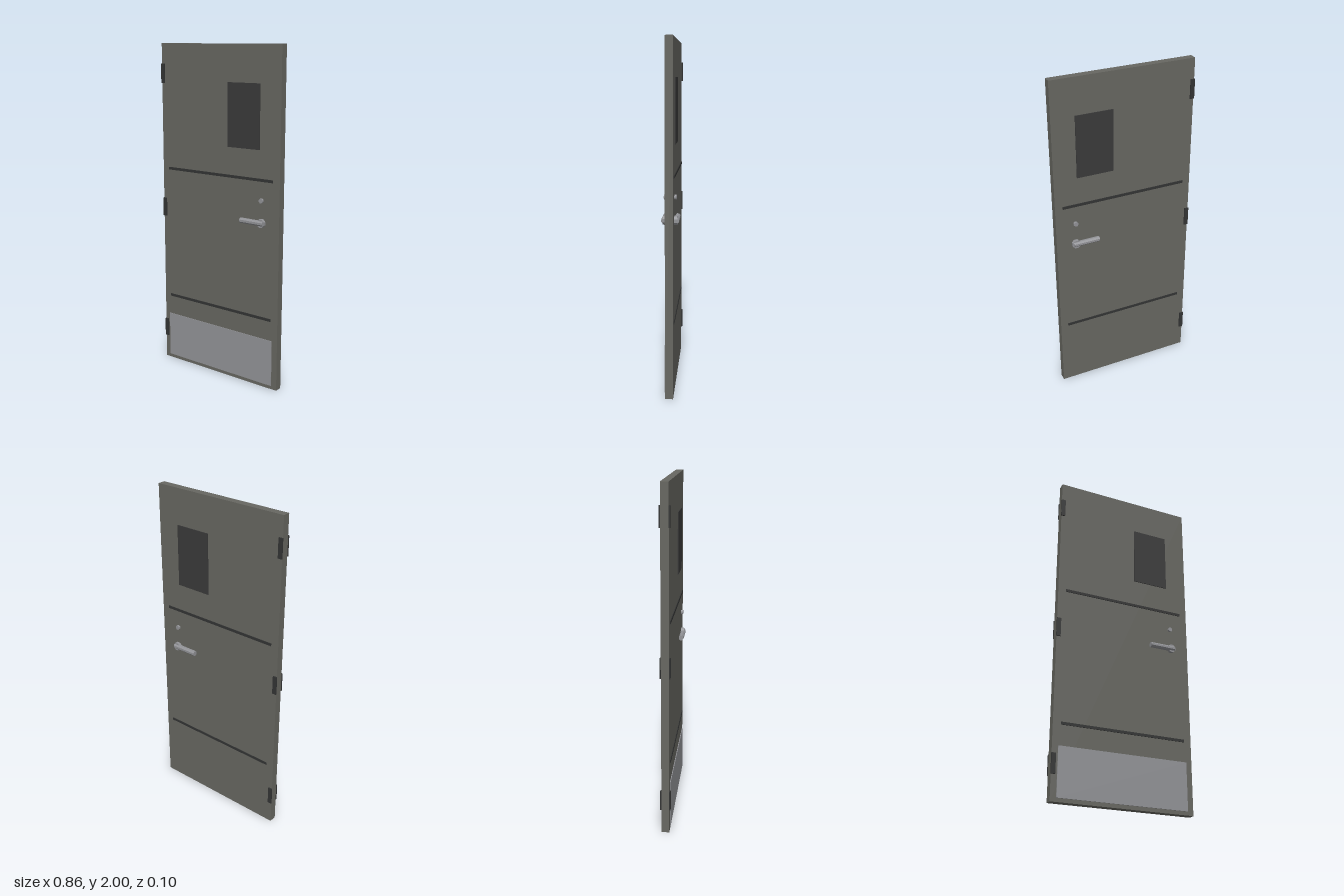
import * as THREE from 'three';

const material = (name, color) => {
  const m = new THREE.MeshStandardMaterial({ color });
  m.name = name;
  return m;
};

export function createModel() {
  const door = new THREE.Group();
  door.name = 'door';
  const paint = material('grey paint', 0x676761);
  const glass = material('dark glass', 0x3a3a3a);
  const black = material('black metal', 0x333434);
  const steel = material('steel', 0x929397);
  const HALF = 0.0225; // half the thickness of the leaf

  // Box given by its limits on each axis
  const box = (name, mat, x0, x1, y0, y1, z0, z1) => {
    const mesh = new THREE.Mesh(new THREE.BoxGeometry(x1 - x0, y1 - y0, z1 - z0), mat);
    mesh.position.set((x0 + x1) / 2, (y0 + y1) / 2, (z0 + z1) / 2);
    mesh.name = name;
    door.add(mesh);
  };

  // Faceted cylinder, along z by default or along x
  const rod = (name, r, length, x, y, z, alongX = false, sides = 8) => {
    const geo = new THREE.CylinderGeometry(r, r, length, sides).toNonIndexed();
    geo.rotateY(Math.PI / sides);
    if (alongX) geo.rotateZ(Math.PI / 2);
    else geo.rotateX(Math.PI / 2);
    geo.computeVertexNormals();
    const mesh = new THREE.Mesh(geo, mat8);
    mesh.position.set(x, y, z);
    mesh.name = name;
    door.add(mesh);
  };
  const mat8 = steel;

  box('leaf', paint, -0.428, 0.427, 0, 2, -HALF, HALF);
  box('kickPlate', steel, -0.393, 0.391, 0.022, 0.303, HALF, 0.027);

  // Fittings repeated on both faces
  for (const [side, s] of [['front', 1], ['back', -1]]) {
    const plate = (name, mat, x0, x1, y0, y1, depth) =>
      box(side + name, mat, x0, x1, y0, y1, s > 0 ? HALF : -depth, s > 0 ? depth : -HALF);

    plate('Window', glass, 0.068, 0.29, 1.42, 1.787, 0.027);
    for (const y of [0.43, 1.25]) plate('Strip', black, -0.381, 0.381, y - 0.008, y + 0.008, 0.0265);
    for (const y of [0.203, 1.003, 1.823]) plate('Hinge', black, -0.43, -0.405, y - 0.057, y + 0.057, 0.03);

    // Lever handle with its rose, and the lock cylinder above
    rod(side + 'Rose', 0.026, 0.02, 0.311, 1.003, s * (HALF + 0.009));
    rod(side + 'Lever', 0.016, 0.16, 0.249, 1.003, s * 0.035, true);
    rod(side + 'Lock', 0.014, 0.014, 0.308, 1.133, s * (HALF + 0.006));
  }
  return door;
}
